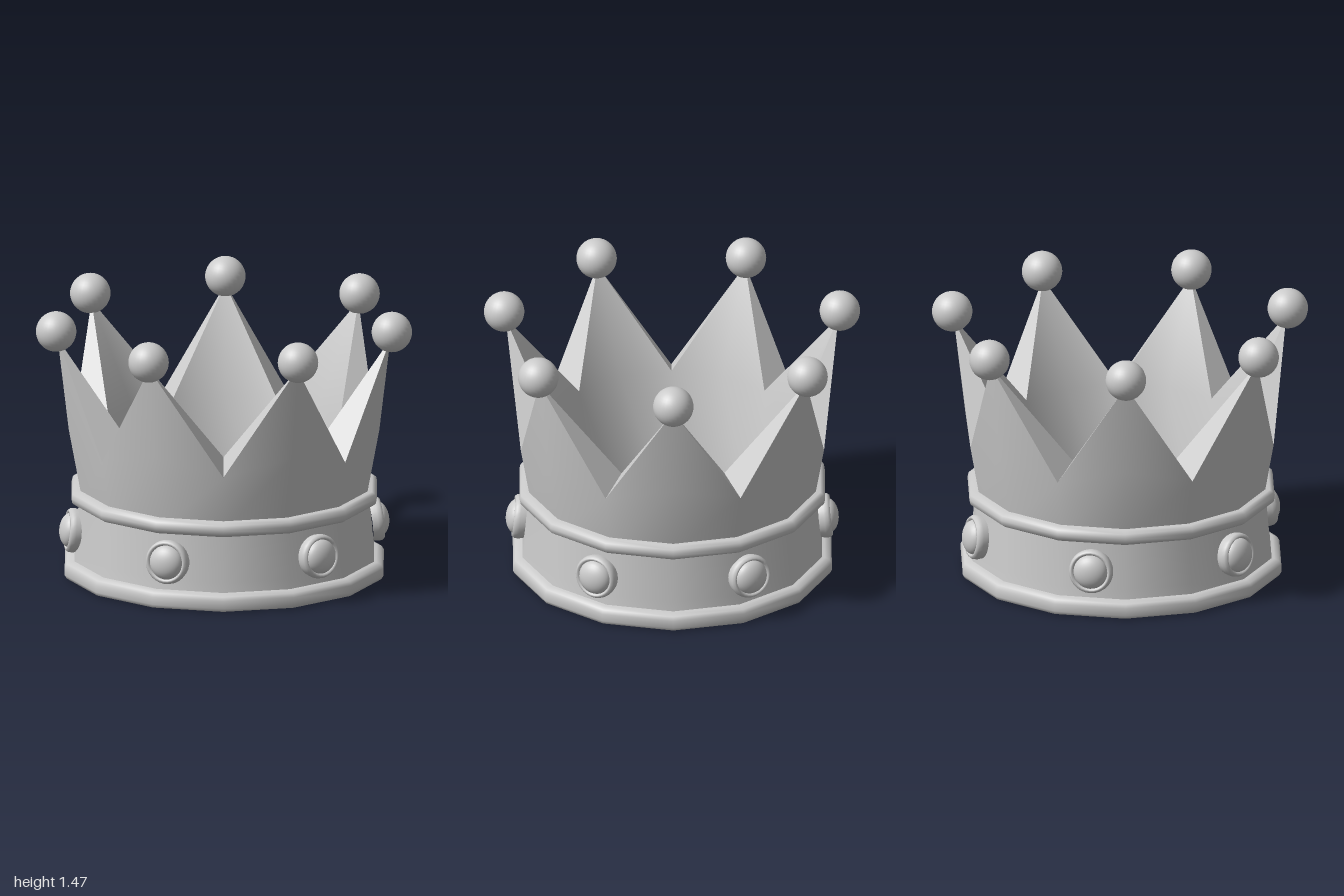
import * as THREE from 'three';

const POINTS = 7, SIDES = POINTS * 2, STEP = (Math.PI * 2) / SIDES;
const mat = new THREE.MeshStandardMaterial({ color: 0xcccccc });

function add(parent, name, geometry) {
  const mesh = new THREE.Mesh(geometry, mat);
  mesh.name = name;
  parent.add(mesh);
  return mesh;
}

const lathe = (pts, sides) =>
  new THREE.LatheGeometry(pts.map(([r, y]) => new THREE.Vector2(r, y)), sides, Math.PI / 2);

// point on the crown at a given column
const at = (col, r, y) => [r * Math.cos(col * STEP), y, r * Math.sin(col * STEP)];

function meshFrom(positions, index) {
  const g = new THREE.BufferGeometry();
  g.setAttribute('position', new THREE.Float32BufferAttribute(positions.flat(), 3));
  g.setIndex(index);
  g.computeVertexNormals();
  return g;
}

// One side of the wall: profile rows of [radius, y] at point columns and valley columns
function wall(pointRows, valleyRows, inward) {
  const pos = [], index = [], n = 3;
  for (let c = 0; c < SIDES; c++) {
    const rows = c % 2 ? valleyRows : pointRows;
    for (let r = 0; r < n; r++) pos.push(at(c, ...rows[Math.min(r, rows.length - 1)]));
  }
  const tri = (a, b, c) => index.push(...(inward ? [a, c, b] : [a, b, c]));
  for (let c = 0; c < SIDES; c++) {
    const a = c * n, b = ((c + 1) % SIDES) * n;
    tri(b, a, a + 1);
    tri(b, a + 1, b + 1);
    // spike triangle above the valley row
    if (c % 2) tri(b + 1, a + 1, b + 2);
    else tri(b + 1, a + 1, a + 2);
  }
  return meshFrom(pos, index);
}

export function createModel() {
  const model = new THREE.Group();
  model.name = 'crown';
  const crown = new THREE.Group();
  crown.name = 'crownBody';
  crown.position.x = -0.045;
  model.add(crown);

  const tip = [0.9, 1.32], outerValley = [0.82, 0.73], innerValley = [0.625, 0.79];

  // Outer and inner faces of the spiked wall
  add(crown, 'outerWall', wall([[0.765, 0.42], [0.84, 0.82], tip], [[0.765, 0.42], outerValley], false));
  add(crown, 'innerWall', wall([[0.525, 0], [0.625, 0.79], tip], [[0.525, 0], innerValley], true));

  // Sloping rim faces between the two walls
  const rim = [];
  for (let p = 0; p < POINTS; p++) {
    const c = p * 2, t = at(c, ...tip);
    rim.push(t, at(c + 1, ...innerValley), at(c + 1, ...outerValley));
    rim.push(t, at(c - 1, ...outerValley), at(c - 1, ...innerValley));
  }
  add(crown, 'rim', meshFrom(rim, rim.map((_, i) => i)));

  // Band, its two mouldings and the underside
  add(crown, 'band', lathe([[0.815, 0.06], [0.803, 0.15], [0.778, 0.44]], SIDES));
  add(crown, 'bottomMoulding', lathe(
    [[0.83, 0], [0.852, 0.006], [0.862, 0.025], [0.862, 0.065], [0.85, 0.085], [0.825, 0.096], [0.79, 0.1]], SIDES));
  add(crown, 'topMoulding', lathe(
    [[0.76, 0.398], [0.8, 0.4], [0.82, 0.414], [0.826, 0.44], [0.82, 0.465], [0.8, 0.479], [0.75, 0.482]], SIDES));
  add(crown, 'underside', lathe([[0.525, 0], [0.835, 0]], SIDES));

  // Ball on every point
  for (let p = 0; p < POINTS; p++) {
    const ball = add(crown, 'ball', new THREE.SphereGeometry(0.107, 28, 20));
    ball.position.set(...at(p * 2, 0.908, 1.36));
  }

  // Six round gems in raised settings
  const setting = lathe(
    [[0.112, -0.02], [0.118, 0.01], [0.116, 0.03], [0.107, 0.043], [0.097, 0.043], [0.09, 0.032], [0.086, 0.015]], 28);
  const dome = new THREE.SphereGeometry(0.092, 28, 8, 0, Math.PI * 2, 0, Math.PI / 2);
  dome.scale(1, 0.62, 1).translate(0, 0.026, 0);
  for (let i = 0; i < 6; i++) {
    const a = ((i + 0.5) * Math.PI) / 3;
    const gem = new THREE.Group();
    gem.name = 'gem';
    add(gem, 'setting', setting);
    add(gem, 'stone', dome);
    gem.position.set(0.795 * Math.cos(a), 0.25, 0.795 * Math.sin(a));
    // face outwards, leaning with the band
    const out = new THREE.Vector3(Math.cos(a), 0.1, Math.sin(a)).normalize();
    gem.quaternion.setFromUnitVectors(new THREE.Vector3(0, 1, 0), out);
    crown.add(gem);
  }
  return model;
}
